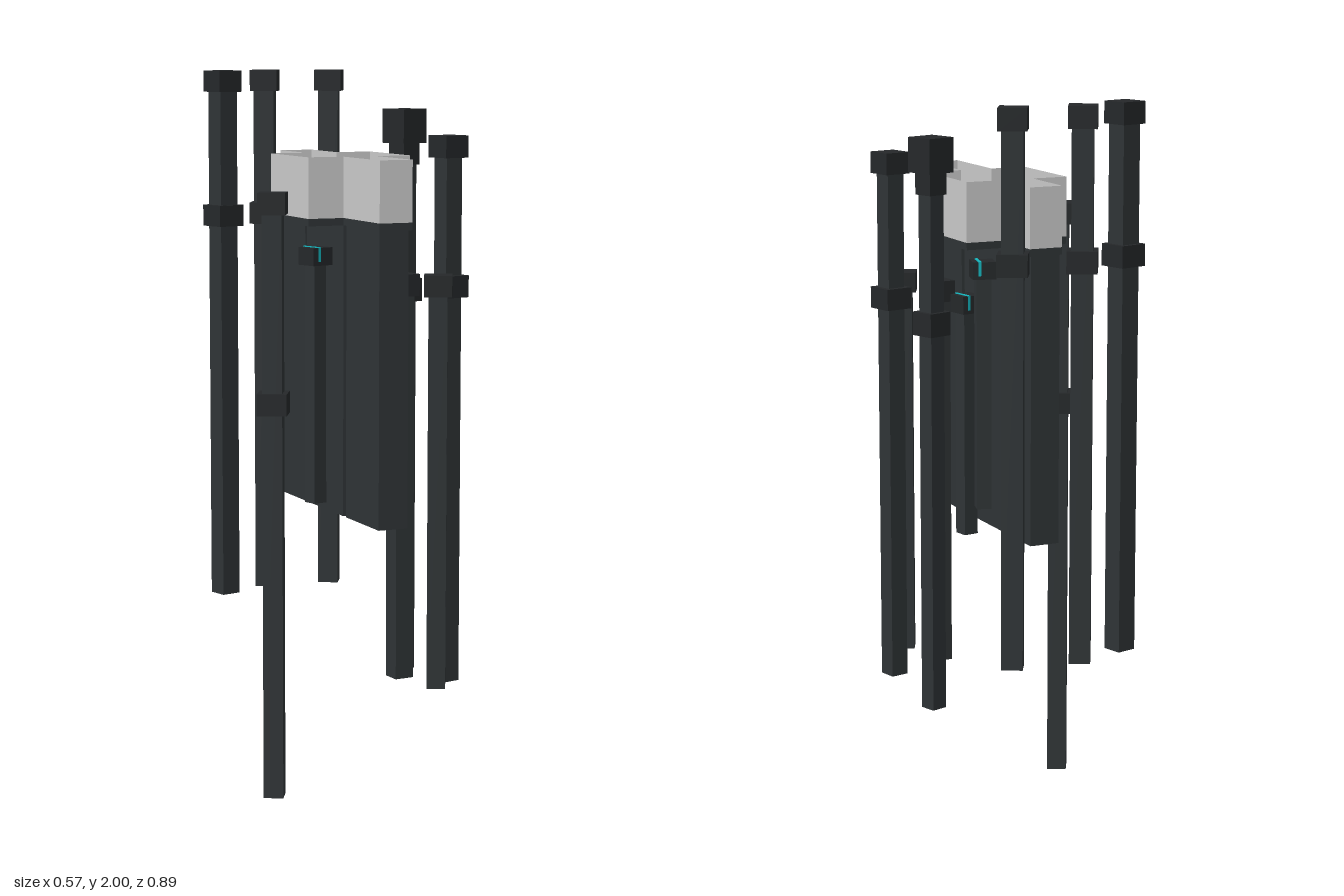
import * as THREE from 'three';

const material = (color, side = THREE.FrontSide) =>
  new THREE.MeshStandardMaterial({ color, side, flatShading: true });

export function createModel() {
  const model = new THREE.Group();
  model.name = 'clusteredColumns';
  const dark = material(0x2f3436);
  const capDark = material(0x25282a);
  const teal = material(0x14b8c0);
  const pale = material(0xcccccc, THREE.DoubleSide);

  // Box spanning y0..y1, centred on x, z
  function block(parent, name, w, d, y0, y1, mat, x = 0, z = 0) {
    const mesh = new THREE.Mesh(new THREE.BoxGeometry(w, y1 - y0, d), mat);
    mesh.position.set(x, (y0 + y1) / 2, z);
    mesh.name = name;
    parent.add(mesh);
  }

  // Central slabs, separated by narrow gaps
  for (const [back, front] of [[-0.255, -0.09], [-0.077, 0.175], [0.195, 0.41]]) {
    block(model, 'coreSlab', 0.085, front - back, 0.79, 1.6, dark, -0.006, (back + front) / 2);
  }

  // Cross-shaped floor plate
  const cross = [
    [-0.05, -0.265], [0.045, -0.265], [0.045, -0.085], [0.148, -0.085],
    [0.148, 0.18], [0.045, 0.18], [0.045, 0.415], [-0.05, 0.415],
    [-0.05, 0.18], [-0.153, 0.18], [-0.153, -0.085], [-0.05, -0.085],
  ];
  const shape = new THREE.Shape(cross.map(([x, z]) => new THREE.Vector2(x, -z)));
  const plate = new THREE.Mesh(
    new THREE.ExtrudeGeometry(shape, { depth: 0.02, bevelEnabled: false }), dark);
  plate.rotation.x = -Math.PI / 2;
  plate.position.y = 1.59;
  plate.name = 'crossFloor';
  model.add(plate);

  // Thin parapet walls around the floor, open at the top
  const parapet = new THREE.Group();
  parapet.name = 'parapet';
  cross.forEach(([x0, z0], i) => {
    const [x1, z1] = cross[(i + 1) % cross.length];
    const wall = new THREE.Mesh(
      new THREE.PlaneGeometry(Math.hypot(x1 - x0, z1 - z0), 0.165), pale);
    wall.position.set((x0 + x1) / 2, 1.6925, (z0 + z1) / 2);
    wall.rotation.y = Math.atan2(z0 - z1, x1 - x0);
    wall.name = 'parapetWall';
    parapet.add(wall);
  });
  model.add(parapet);

  // Free-standing square columns; each bands entry is [width, bottom, top]
  const columns = [
    { x: -0.2, z: -0.333, turn: 0.26, bottom: 0.49, w: 0.058, bands: [[0.077, 1.94, 2], [0.082, 1.56, 1.62]] },
    { x: -0.048, z: -0.39, turn: -0.5, bottom: 0.49, w: 0.058, bands: [[0.077, 1.94, 2], [0.082, 1.56, 1.62]] },
    { x: 0.143, z: -0.366, turn: -0.51, bottom: 0.49, w: 0.058, bands: [[0.077, 1.94, 2], [0.082, 1.56, 1.62]] },
    { x: 0.229, z: -0.031, turn: 0.32, bottom: 0.29, w: 0.048, bands: [[0.087, 1.8, 1.895], [0.06, 1.74, 1.8], [0.073, 1.355, 1.42]] },
    { x: -0.229, z: 0.111, turn: -0.5, bottom: 0, w: 0.055, bands: [[0.075, 1.62, 1.68], [0.082, 1.075, 1.135]] },
    { x: 0.092, z: 0.243, turn: 0.09, bottom: 0.34, w: 0.055, bands: [[0.075, 1.4, 1.46]] },
    { x: 0.236, z: 0.237, turn: 0.22, bottom: 0.315, w: 0.053, bands: [[0.077, 1.77, 1.83], [0.082, 1.39, 1.45]] },
    { x: 0.133, z: 0.391, turn: -0.46, bottom: 0.34, w: 0.051, bands: [[0.075, 1.41, 1.467]] },
    { x: 0.137, z: -0.164, turn: -0.26, bottom: 0.89, w: 0.04, bands: [[0.063, 1.525, 1.572]], stripe: 0.013 },
    { x: -0.196, z: 0.328, turn: 0.28, bottom: 0.865, w: 0.04, bands: [[0.063, 1.5, 1.547]], stripe: -0.012 },
    { x: 0.075, z: 0.08, turn: 0.17, bottom: 0.755, w: 0.044, bands: [[0.063, 1.39, 1.44]], stripe: 0.012 },
  ];
  for (const { x, z, turn, bottom, w, bands, stripe } of columns) {
    const column = new THREE.Group();
    column.name = stripe ? 'stripedColumn' : 'column';
    column.position.set(x, 0, z);
    column.rotation.y = turn;
    const [capWidth, capBottom, capTop] = bands[0];
    block(column, 'shaft', w, w, bottom, capTop - 0.01, dark);
    bands.forEach(([bw, y0, y1], i) =>
      block(column, i ? 'collar' : 'cap', bw, bw, y0, y1, capDark));
    // Coloured strip wrapped over the cap
    if (stripe) {
      block(column, 'capStripe', 0.008, capWidth + 0.003, capBottom + 0.01, capTop + 0.002, teal, stripe);
    }
    model.add(column);
  }
  return model;
}
